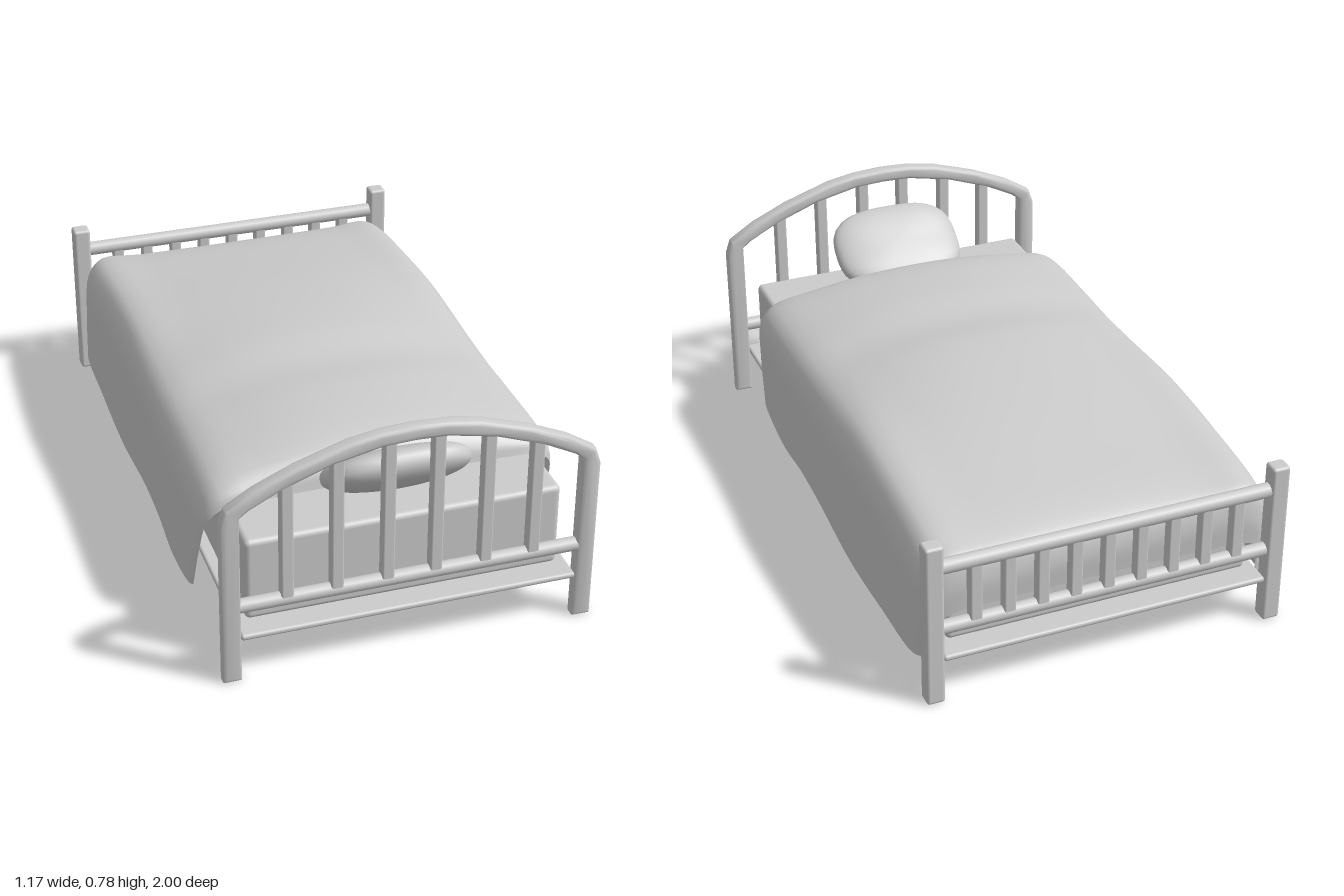
import * as THREE from 'three';
import { RoundedBoxGeometry } from 'three/addons/geometries/RoundedBoxGeometry.js';
import { toCreasedNormals } from 'three/addons/utils/BufferGeometryUtils.js';

const material = new THREE.MeshStandardMaterial({ color: 0xcccccc });
const cloth = new THREE.MeshStandardMaterial({ color: 0xcccccc, side: THREE.DoubleSide });

function add(parent, name, geometry, x = 0, y = 0, z = 0, mat = material) {
  const mesh = new THREE.Mesh(geometry, mat);
  mesh.name = name;
  mesh.position.set(x, y, z);
  parent.add(mesh);
  return mesh;
}

// Round rail running along x
function rail(parent, name, y, z, radius) {
  const g = new THREE.CylinderGeometry(radius, radius, 1.07, 16).rotateZ(Math.PI / 2);
  add(parent, name, g, 0, y, z);
}

// Upright slat between two heights
function slat(parent, x, y0, y1, z) {
  add(parent, 'slat', new RoundedBoxGeometry(0.038, y1 - y0, 0.038, 2, 0.006), x, (y0 + y1) / 2, z);
}

// Arched frame with its two legs in one bevelled outline
function archGeometry() {
  const outer = [[0.585, 0], [0.585, 0.55], [0.568, 0.6], [0.48, 0.655], [0.36, 0.708], [0.2, 0.76], [0.1, 0.777], [0, 0.782]];
  const inner = [[0, 0.736], [0.1, 0.732], [0.25, 0.7], [0.4, 0.645], [0.5, 0.594], [0.527, 0.572], [0.527, 0]];
  const half = ([x, y]) => [-x, y];
  const outline = [
    ...outer,
    ...outer.slice(0, -1).reverse().map(half),
    ...inner.slice().reverse().map(half),
    ...inner.slice(1),
  ];
  const shape = new THREE.Shape(outline.map(([x, y]) => new THREE.Vector2(x, y)));
  const g = new THREE.ExtrudeGeometry(shape, {
    depth: 0.024, bevelThickness: 0.012, bevelSize: 0.012, bevelOffset: -0.012, bevelSegments: 3,
  });
  return toCreasedNormals(g.translate(0, 0, -0.012), 0.7);
}

function headboard() {
  const g = new THREE.Group();
  g.name = 'headboard';
  add(g, 'archedFrame', archGeometry(), 0, 0, 0.974);
  rail(g, 'lowerRail', 0.258, 0.974, 0.0225);
  const tops = [[0.075, 0.75], [0.232, 0.72], [0.385, 0.665]];
  for (const side of [-1, 1]) for (const [x, top] of tops) slat(g, side * x, 0.258, top, 0.974);
  return g;
}

function footboard() {
  const g = new THREE.Group();
  g.name = 'footboard';
  for (const side of [-1, 1]) {
    add(g, 'footPost', new RoundedBoxGeometry(0.058, 0.555, 0.056, 3, 0.01), side * 0.556, 0.2775, -0.972);
  }
  rail(g, 'topRail', 0.47, -0.972, 0.024);
  rail(g, 'lowerRail', 0.255, -0.972, 0.0225);
  for (let i = -4; i <= 4; i++) slat(g, i * 0.106, 0.258, 0.47, -0.972);
  return g;
}

// Soft pillow: a sphere squared off in plan and slightly bent
function pillowGeometry() {
  const g = new THREE.SphereGeometry(1, 40, 28);
  const p = g.attributes.position;
  for (let i = 0; i < p.count; i++) {
    const x = p.getX(i), y = p.getY(i), z = p.getZ(i);
    const round = Math.hypot(x, z);
    const s = round / (Math.cbrt(Math.abs(x) ** 3 + Math.abs(z) ** 3) || 1);
    const px = x * s, pz = z * s;
    p.setXYZ(i, px * 0.225, Math.sign(y) * Math.abs(y) ** 0.8 * 0.062 + 0.015 * (pz * pz - 0.4), pz * 0.152);
  }
  g.computeVertexNormals();
  return g;
}

// Blanket: cross-sections over the mattress, smoothed both ways
function blanketGeometry() {
  // top z, hem z, centre height, shoulder height, hem height, half width
  const rows = [
    [0.725, 0.61, 0.445, 0.432, 0.095, 0.573],
    [0.71, 0.605, 0.495, 0.46, 0.093, 0.578],
    [0.66, 0.57, 0.548, 0.483, 0.085, 0.583],
    [0.39, 0.38, 0.58, 0.493, 0.062, 0.583],
    [0.2, 0.2, 0.57, 0.493, 0.083, 0.58],
    [0.02, 0.02, 0.588, 0.5, 0.09, 0.58],
    [-0.3, -0.3, 0.566, 0.515, 0.066, 0.583],
    [-0.62, -0.62, 0.518, 0.495, 0.08, 0.582],
    [-0.86, -0.84, 0.47, 0.465, 0.095, 0.58],
    [-0.925, -0.88, 0.435, 0.445, 0.1, 0.57],
    [-0.945, -0.89, 0.37, 0.37, 0.1, 0.555],
    [-0.94, -0.89, 0.28, 0.27, 0.1, 0.545],
  ];
  const mix = THREE.MathUtils.lerp;
  const smooth = (points, n) => new THREE.CatmullRomCurve3(points).getPoints(n);
  const sections = rows.map(([zt, zh, yc, ys, yb, w]) => {
    const half = (side, hem) => [
      [w, hem, zh],
      [w - 0.008, mix(hem, ys, 0.5), mix(zh, zt, 0.5)],
      [w - 0.025, mix(hem, ys, 0.85), mix(zh, zt, 0.85)],
      [w - 0.075, ys, zt],
      [0.36, mix(ys, yc, 0.55), zt],
      [0.18, mix(ys, yc, 0.9), zt],
    ].map(([x, y, z]) => new THREE.Vector3(side * x, y, z));
    // The left hem rides up a little towards the head
    const left = half(1, yb + 0.09 * Math.max(0, zh));
    return smooth([...left, new THREE.Vector3(0, yc, zt), ...half(-1, yb).reverse()], 48);
  });
  const columns = sections[0].map((_, i) => smooth(sections.map((s) => s[i]), 55));
  const position = [], index = [], n = columns[0].length;
  columns.forEach((column, i) => column.forEach((v, j) => {
    position.push(v.x, v.y, v.z);
    if (i && j) {
      const a = (i - 1) * n + j - 1, b = a + n;
      index.push(a, a + 1, b, b, a + 1, b + 1);
    }
  }));
  const g = new THREE.BufferGeometry();
  g.setAttribute('position', new THREE.Float32BufferAttribute(position, 3));
  g.setIndex(index);
  g.computeVertexNormals();
  return g;
}

export function createModel() {
  const bed = new THREE.Group();
  bed.name = 'bed';
  bed.add(headboard(), footboard());
  add(bed, 'basePlate', new RoundedBoxGeometry(1.055, 0.02, 1.99, 2, 0.009), 0, 0.152, 0);
  add(bed, 'mattress', new RoundedBoxGeometry(0.99, 0.278, 1.85, 4, 0.018), 0, 0.301, 0);
  const pillow = add(bed, 'pillow', pillowGeometry(), 0, 0.546, 0.822);
  pillow.rotation.x = -0.62;
  add(bed, 'blanket', blanketGeometry(), 0, 0, 0, cloth);
  return bed;
}
